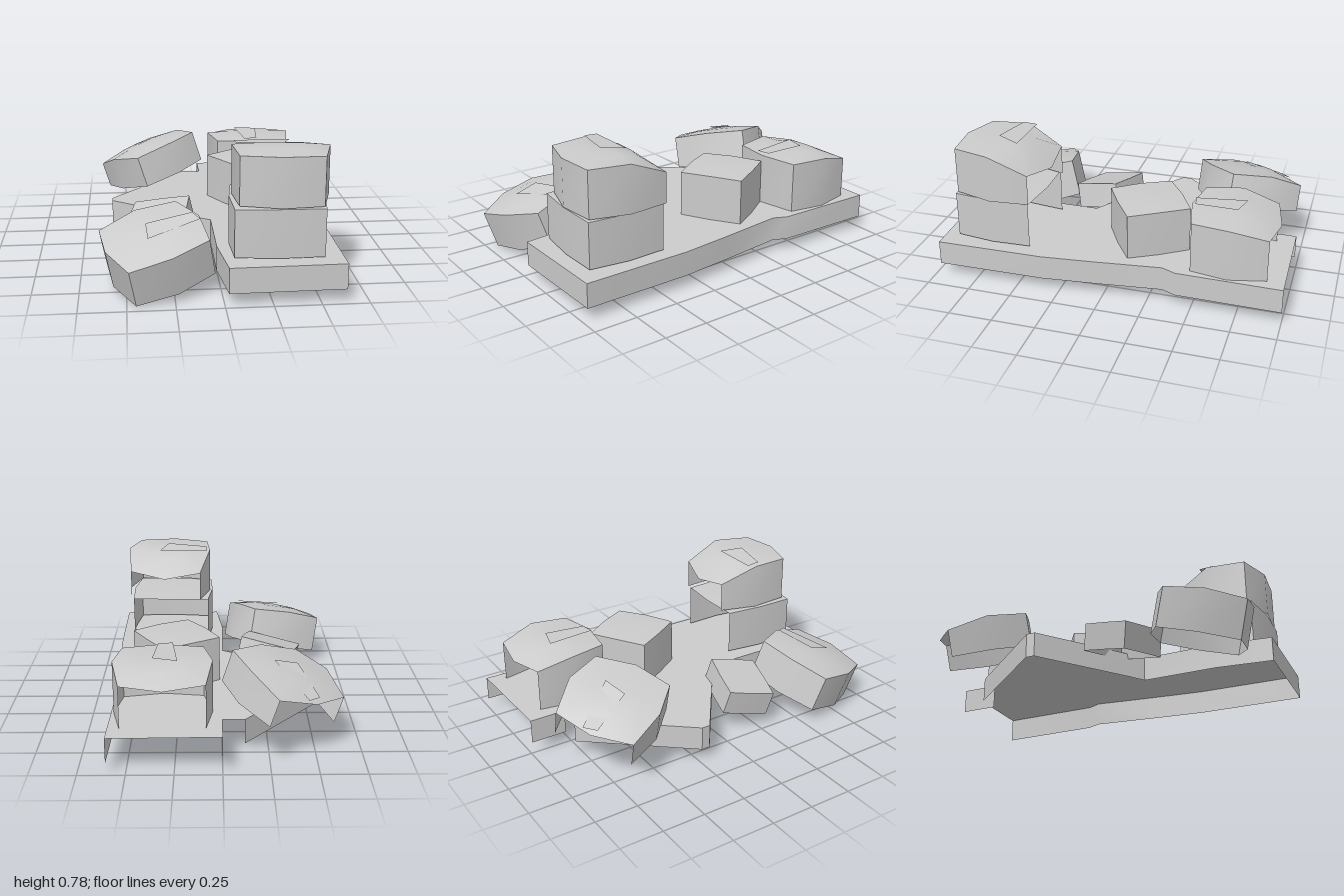
import * as THREE from 'three';
import { toCreasedNormals } from 'three/addons/utils/BufferGeometryUtils.js';

const material = new THREE.MeshStandardMaterial({ color: 0xcccccc, side: THREE.DoubleSide });

function meshFrom(name, points) {
  const g = new THREE.BufferGeometry();
  g.setAttribute('position', new THREE.Float32BufferAttribute(points.flat(), 3));
  const m = new THREE.Mesh(toCreasedNormals(g, 0.6), material);
  m.name = name;
  return m;
}

// Faces between an upper (or inner) and a lower (or outer) ring; edges listed in open are left out
function band(top, bottom, open = []) {
  const out = [];
  top.forEach((a, i) => {
    if (open.includes(i)) return;
    const j = (i + 1) % top.length;
    out.push(a, top[j], bottom[j], a, bottom[j], bottom[i]);
  });
  return out;
}

// Hollow broken stone: rounded-square plan, domed top that falls to the rear, open underside
function stone({ name, size: [w, h, d], at, turn, square = 4, sag = 0.02, fall = 0, open, chip }) {
  const group = new THREE.Group();
  group.name = name;
  const topPoint = (u, v) => [
    (u * w) / 2,
    h - sag * (u * u + v * v) - fall * Math.max(0, -v) ** 2,
    (v * d) / 2,
  ];
  const plan = Array.from({ length: 8 }, (_, i) => {
    const c = Math.cos((i * Math.PI) / 4), s = Math.sin((i * Math.PI) / 4);
    const r = (Math.abs(c) ** square + Math.abs(s) ** square) ** (-1 / square);
    return [c * r, s * r];
  });
  const ring = (k) => plan.map(([u, v]) => topPoint(u * k, v * k));
  const rim = ring(1);
  const foot = rim.map(([x, , z]) => [x, 0, z]);
  const centre = plan.map(() => topPoint(0, 0));
  group.add(meshFrom(name + 'Shell', [
    ...band(rim, foot, open), ...band(ring(0.5), rim), ...band(centre, ring(0.5)),
  ]));

  // loose flake running from one edge towards the middle
  if (chip !== undefined) {
    const c = Math.cos(chip), s = Math.sin(chip);
    const [a, b, e, f] = [[0.9, -0.1], [0.95, 0.2], [-0.2, 0.3], [-0.05, -0.2]].map(([p, q]) => {
      const [x, y, z] = topPoint(p * c - q * s, p * s + q * c);
      return [x, y + 0.012, z];
    });
    group.add(meshFrom(name + 'Chip', [a, e, b, a, f, e]));
  }
  group.position.set(...at);
  group.rotation.set(...turn, 'YXZ');
  return group;
}

// Hollow floor slab with a broken outline
function slab() {
  const group = new THREE.Group();
  group.name = 'slab';
  const outline = [
    [0, -0.99], [0.6, -1], [0.59, -0.41], [0.555, -0.33], [0.6, 0.05], [0.63, 0.35], [0.635, 0.97],
    [0.02, 0.98], [-0.015, 0.66], [-0.01, 0.23], [-0.1, 0.17], [-0.58, -0.18], [-0.58, -0.23],
    [-0.12, -0.78], [0, -0.78],
  ];
  const shape = new THREE.Shape(outline.map(([x, z]) => new THREE.Vector2(x, -z)));
  const top = new THREE.Mesh(
    new THREE.ShapeGeometry(shape).rotateX(-Math.PI / 2).translate(0, 0.21, 0), material);
  top.name = 'slabTop';
  const ring = (y) => outline.map(([x, z]) => [x, y, z]);
  // the rear edges are open
  group.add(top, meshFrom('slabSides', band(ring(0.21), ring(0.07), [0, 13])));
  return group;
}

export function createModel() {
  const model = new THREE.Group();
  model.name = 'stoneRuin';
  const rear = [5, 6];
  model.add(
    slab(),
    stone({ name: 'lowerStackStone', size: [0.51, 0.27, 0.48], at: [0.305, 0.22, 0.655],
      turn: [0, -0.05, 0], square: 9, sag: 0.005, open: rear }),
    stone({ name: 'upperStackStone', size: [0.52, 0.28, 0.53], at: [0.325, 0.49, 0.635],
      turn: [0, -0.1, 0], sag: 0.01, fall: 0.13, open: rear, chip: Math.PI }),
    stone({ name: 'rearStone', size: [0.53, 0.305, 0.5], at: [0.315, 0.21, -0.685],
      turn: [0, 0.03, 0], sag: 0.01, fall: 0.07, open: rear, chip: Math.PI / 2 }),
    stone({ name: 'middleStone', size: [0.38, 0.27, 0.38], at: [0.26, 0.21, -0.18],
      turn: [0, 0.545, 0], square: 16, sag: 0.005 }),
    // tipped towards the rear left
    stone({ name: 'leaningStone', size: [0.54, 0.22, 0.54], at: [-0.3, 0.25, -0.64],
      turn: [-0.22, 0.575, 0.22], fall: 0.05, open: rear, chip: -Math.PI / 2 }),
    // slipped off the slab onto one corner
    stone({ name: 'fallenStone', size: [0.54, 0.26, 0.52], at: [-0.32, 0.1, 0.67],
      turn: [0.2, 0.37, 0.25], sag: 0.03, chip: 0 }),
    stone({ name: 'smallStone', size: [0.34, 0.15, 0.29], at: [-0.28, 0.13, 0.21],
      turn: [0.22, -0.22, 0.18], square: 20, sag: 0 }),
  );
  return model;
}
